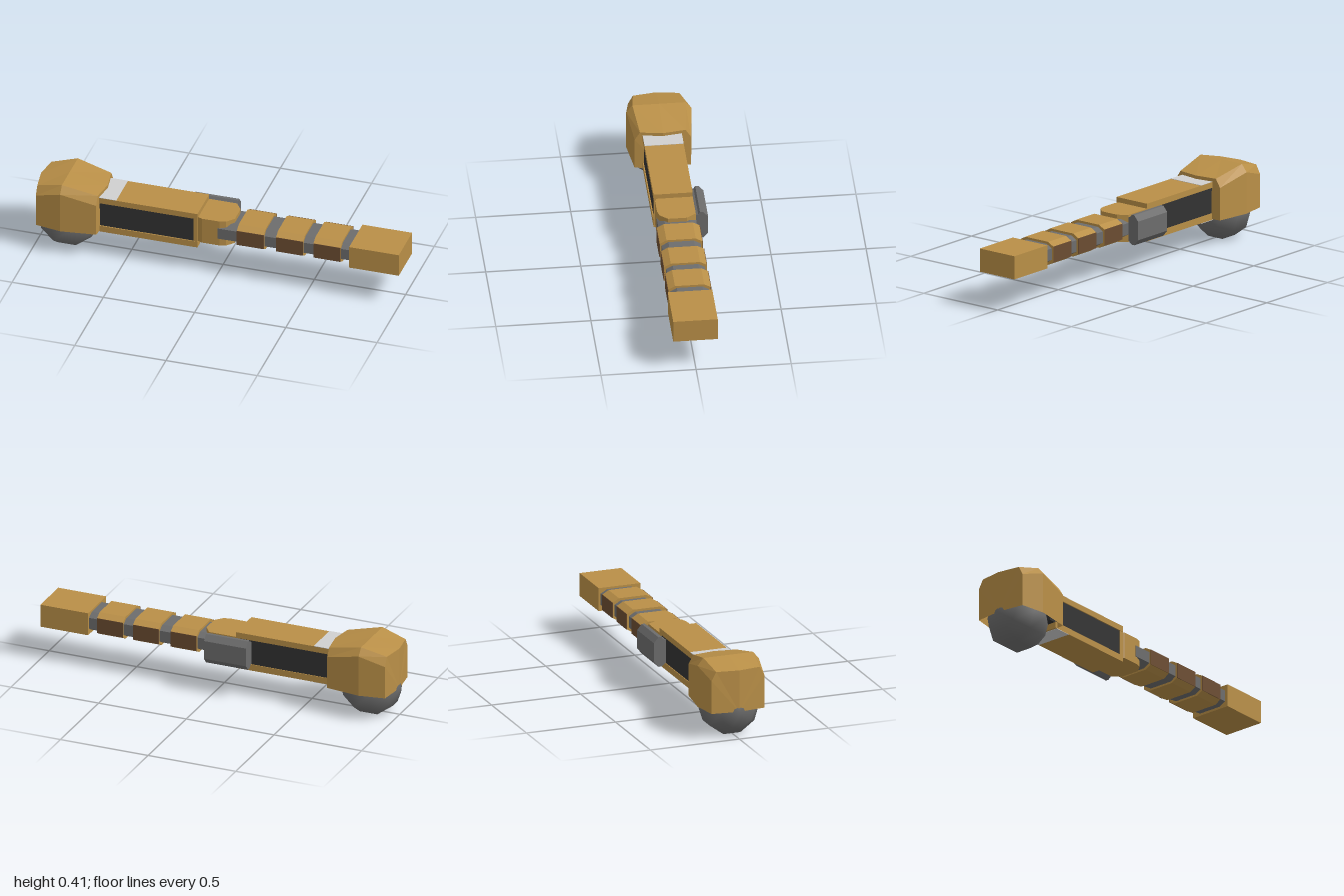
import * as THREE from 'three';

const mat = (name, hex, extra = {}) => {
  const m = new THREE.MeshStandardMaterial({ color: hex, ...extra });
  m.name = name;
  return m;
};

export function createModel() {
  const gold = mat('gold', 0xb98f47, { side: THREE.DoubleSide });
  const brown = mat('brown', 0x6b4c31);
  const grey = mat('grey', 0x6c6c6c);
  const black = mat('black', 0x323232);
  const white = mat('white', 0xd0d0d0);
  const group = new THREE.Group();

  const add = (name, geo, material) => {
    const mesh = new THREE.Mesh(geo, material);
    mesh.name = name;
    group.add(mesh);
    return mesh;
  };
  // Box given by its limits on each axis
  const box = (name, m, x0, x1, y0, y1, z0, z1) =>
    add(name, new THREE.BoxGeometry(x1 - x0, y1 - y0, z1 - z0), m)
      .position.set((x0 + x1) / 2, (y0 + y1) / 2, (z0 + z1) / 2);
  // Prism along x from a [z, y] outline
  const prismX = (name, m, outline, x0, x1) => {
    const shape = new THREE.Shape(outline.map(([z, y]) => new THREE.Vector2(-z, y)));
    const geo = new THREE.ExtrudeGeometry(shape, { depth: x1 - x0, bevelEnabled: false });
    add(name, geo.rotateY(Math.PI / 2).translate(x0, 0, 0), m);
  };
  const octagon = (hz, y0, y1, cz, cy) => [
    [hz, y0 + cy], [hz, y1 - cy], [hz - cz, y1], [cz - hz, y1],
    [-hz, y1 - cy], [-hz, y0 + cy], [cz - hz, y0], [hz - cz, y0],
  ];

  // Shoulder shell: loft of arched sections, open underneath
  const section = (x, bulge, hz, shoulderY, ridgeZ, ridgeY) => [
    [x, 0.15, hz], [x, shoulderY, hz], [x, ridgeY, ridgeZ], [x + bulge, ridgeY, 0],
    [x, ridgeY, -ridgeZ], [x, shoulderY, -hz], [x, 0.15, -hz],
  ];
  const rings = [
    section(-0.98, -0.018, 0.148, 0.33, 0.122, 0.378),
    section(-0.84, 0, 0.172, 0.375, 0.14, 0.415),
    section(-0.65, 0.018, 0.148, 0.327, 0.12, 0.372),
  ];
  const pos = [];
  const tri = (...p) => p.forEach((v) => pos.push(...v));
  for (let i = 0; i < 2; i++) {
    for (let j = 0; j < 6; j++) {
      const [a, b, c, d] = [rings[i][j], rings[i + 1][j], rings[i + 1][j + 1], rings[i][j + 1]];
      tri(a, b, c);
      tri(a, c, d);
    }
  }
  // Bowed end walls, fanned from the foot of the centre line
  [rings[0], rings[2]].forEach((r, end) => {
    const foot = [r[3][0], 0.15, 0];
    for (let j = 0; j < 6; j++) end ? tri(foot, r[j + 1], r[j]) : tri(foot, r[j], r[j + 1]);
  });
  const shell = new THREE.BufferGeometry();
  shell.setAttribute('position', new THREE.Float32BufferAttribute(pos, 3));
  shell.computeVertexNormals();
  add('shoulderArmor', shell, gold);

  // Shoulder ball joint
  const ball = new THREE.SphereGeometry(0.163, 10, 5);
  ball.rotateZ(Math.PI / 2).rotateX(Math.PI / 10);
  add('shoulderJoint', ball, grey).position.set(-0.842, 0.148, 0);

  // Upper arm: dark core between two plates, with pale bands
  box('upperArmCore', black, -0.7, -0.128, 0.18, 0.325, -0.096, 0.1);
  box('upperArmTopPlate', gold, -0.66, -0.108, 0.32, 0.352, -0.1, 0.106);
  box('upperArmBottomPlate', gold, -0.66, -0.108, 0.147, 0.182, -0.1, 0.106);
  box('upperArmEnd', gold, -0.13, -0.108, 0.16, 0.34, -0.099, 0.104);
  box('topBand', white, -0.65, -0.553, 0.35, 0.354, -0.1, 0.106);
  box('bottomBand', white, -0.65, -0.553, 0.145, 0.149, -0.1, 0.106);

  // Elbow: chamfered block in plan
  const plan = [
    [-0.11, -0.1], [0.045, -0.1], [0.08, -0.05], [0.08, 0.05],
    [0.045, 0.09], [0.01, 0.1], [-0.085, 0.1], [-0.11, 0.09],
  ].map(([x, z]) => new THREE.Vector2(x, -z));
  const elbow = new THREE.ExtrudeGeometry(new THREE.Shape(plan), { depth: 0.147, bevelEnabled: false });
  add('elbow', elbow.rotateX(-Math.PI / 2).translate(0, 0.178, 0), gold);

  // Elbow guard on the rear face
  prismX('elbowGuard', grey, [
    [-0.095, 0.185], [-0.095, 0.31], [-0.113, 0.317], [-0.122, 0.33], [-0.139, 0.33],
    [-0.165, 0.3], [-0.165, 0.198], [-0.139, 0.167], [-0.122, 0.167], [-0.104, 0.182],
  ], -0.195, 0.045);

  // Forearm core with three armour rings
  prismX('forearmCore', grey, octagon(0.102, 0.2, 0.302, 0.035, 0.02), 0, 0.735);
  [0.11, 0.325, 0.53].forEach((x) => {
    prismX('forearmRing', gold, octagon(0.112, 0.189, 0.314, 0.035, 0.02), x, x + 0.148);
    for (const s of [-1, 1]) {
      box('ringSidePanel', brown, x, x + 0.148, 0.209, 0.294, s * 0.1125 - 0.002, s * 0.1125 + 0.002);
    }
  });

  // Fist block
  box('fist', gold, 0.728, 1, 0.187, 0.313, -0.114, 0.12);

  return group;
}
